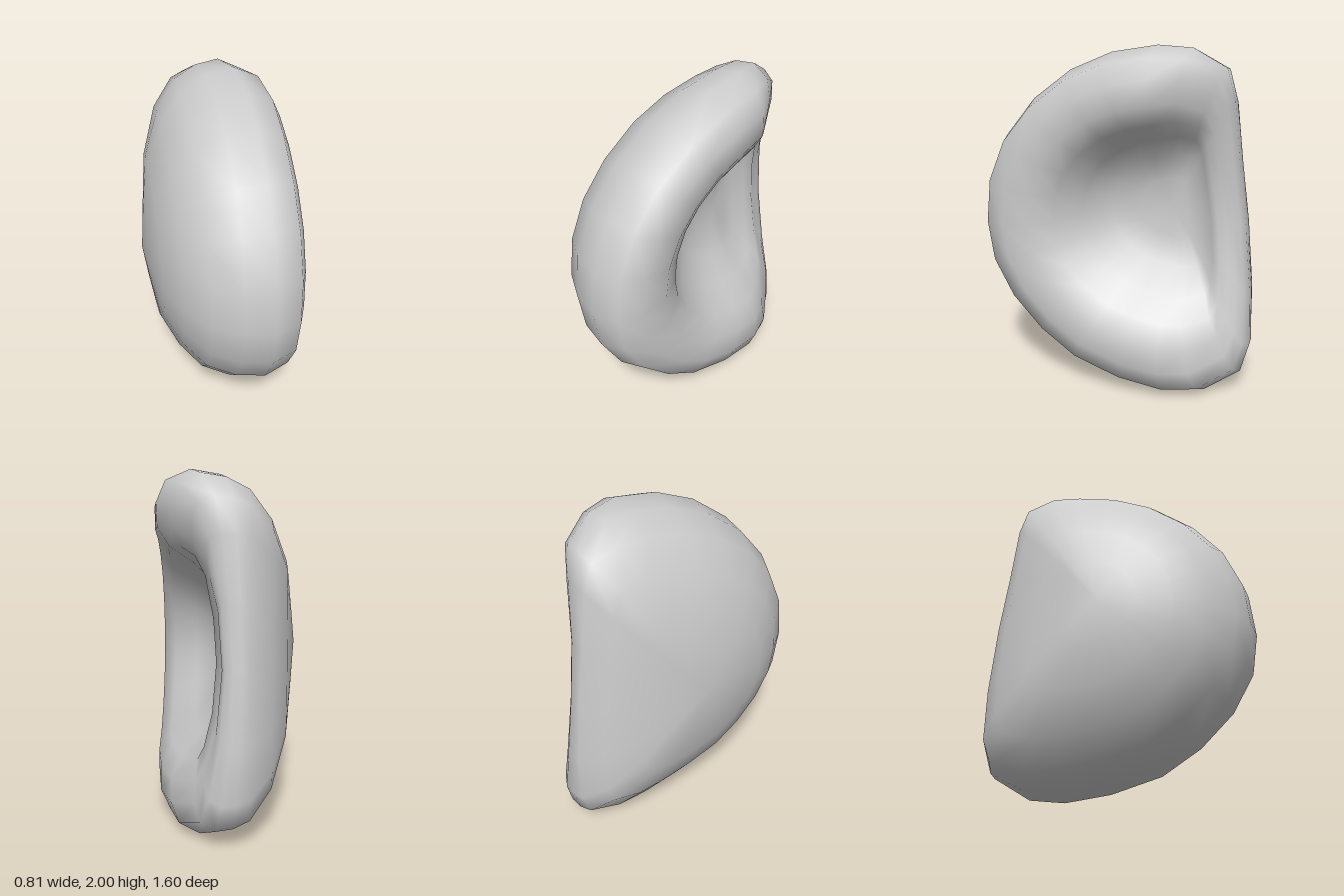
import * as THREE from 'three';
import { mergeVertices } from 'three/addons/utils/BufferGeometryUtils.js';

// D-shaped outline: [z, y, lip height factor], from the front edge up, over and down the back
const OUTLINE = [
  [0.8, 0.96, 1], [0.77, 1.23, 1], [0.66, 1.48, 1], [0.48, 1.69, 1], [0.24, 1.86, 1],
  [-0.01, 1.96, 1], [-0.27, 2, 0.95], [-0.45, 1.985, 0.78], [-0.62, 1.88, 0.57], [-0.66, 1.7, 0.43],
  [-0.69, 1.35, 0.32], [-0.735, 1, 0.28], [-0.78, 0.6, 0.34], [-0.8, 0.29, 0.46], [-0.76, 0.13, 0.56],
  [-0.57, 0.015, 0.82], [-0.37, 0, 0.95], [-0.1, 0.04, 1], [0.2, 0.13, 1], [0.43, 0.28, 1],
  [0.63, 0.48, 1], [0.76, 0.71, 1],
];

// Rings from the domed side, around the rim, into the hollow:
// [scale, x, centre z, centre y, flare where the lip is low]
const PROFILE = [
  [0, -0.41, -0.06, 1, 0], [0.25, -0.378, -0.06, 1, 0], [0.5, -0.34, -0.06, 1, 0.2],
  [0.71, -0.25, -0.06, 1, 0.75], [0.88, -0.13, -0.06, 1, 1.35], [0.97, 0.03, -0.06, 1, 1.35],
  [1, 0.2, -0.1, 1, 0], [0.94, 0.345, -0.15, 1, 0.6], [0.82, 0.4, -0.25, 1, 0.5],
  [0.68, 0.395, -0.3, 1.02, 0.45], [0.56, 0.32, -0.3, 1.04, 0.45], [0.45, 0.17, -0.3, 1.06, 0.4],
  [0.32, 0.05, -0.3, 1.07, 0.3], [0.17, 0.01, -0.3, 1.08, 0.2], [0, 0, -0.3, 1.08, 0],
];

const FOLD = -0.13; // x level above which the lip is lowered toward the back

function shellGeometry() {
  const pos = [], index = [], n = OUTLINE.length;
  for (const [s, px, cz, cy, flare] of PROFILE) {
    for (const [z, y, k] of OUTLINE) {
      const scale = s === 0 ? 0 : Math.pow(s, 1 - flare * (1 - k));
      const lip = THREE.MathUtils.lerp(1, k, Math.min(1, s * 1.5));
      const x = px > FOLD ? FOLD + (px - FOLD) * lip : px;
      pos.push(x, cy + (y - cy) * scale, cz + (z - cz) * scale);
    }
  }
  for (let j = 0; j < PROFILE.length - 1; j++) {
    for (let i = 0; i < n; i++) {
      const a = j * n + i, c = j * n + (i + 1) % n;
      const b = a + n, d = c + n;
      if (j === 0) index.push(a, b, d);
      else index.push(a, b, c);
      if (j > 0 && j < PROFILE.length - 2) index.push(b, d, c);
    }
  }
  // Weld the poles so shading stays smooth
  const geo = new THREE.BufferGeometry();
  geo.setAttribute('position', new THREE.Float32BufferAttribute(pos, 3));
  geo.setIndex(index);
  const welded = mergeVertices(geo, 1e-4);
  welded.computeVertexNormals();
  return welded;
}

export function createModel() {
  const group = new THREE.Group();
  const shell = new THREE.Mesh(
    shellGeometry(),
    new THREE.MeshStandardMaterial({ color: 0xcccccc })
  );
  shell.name = 'cuppedShell';
  group.add(shell);
  return group;
}
